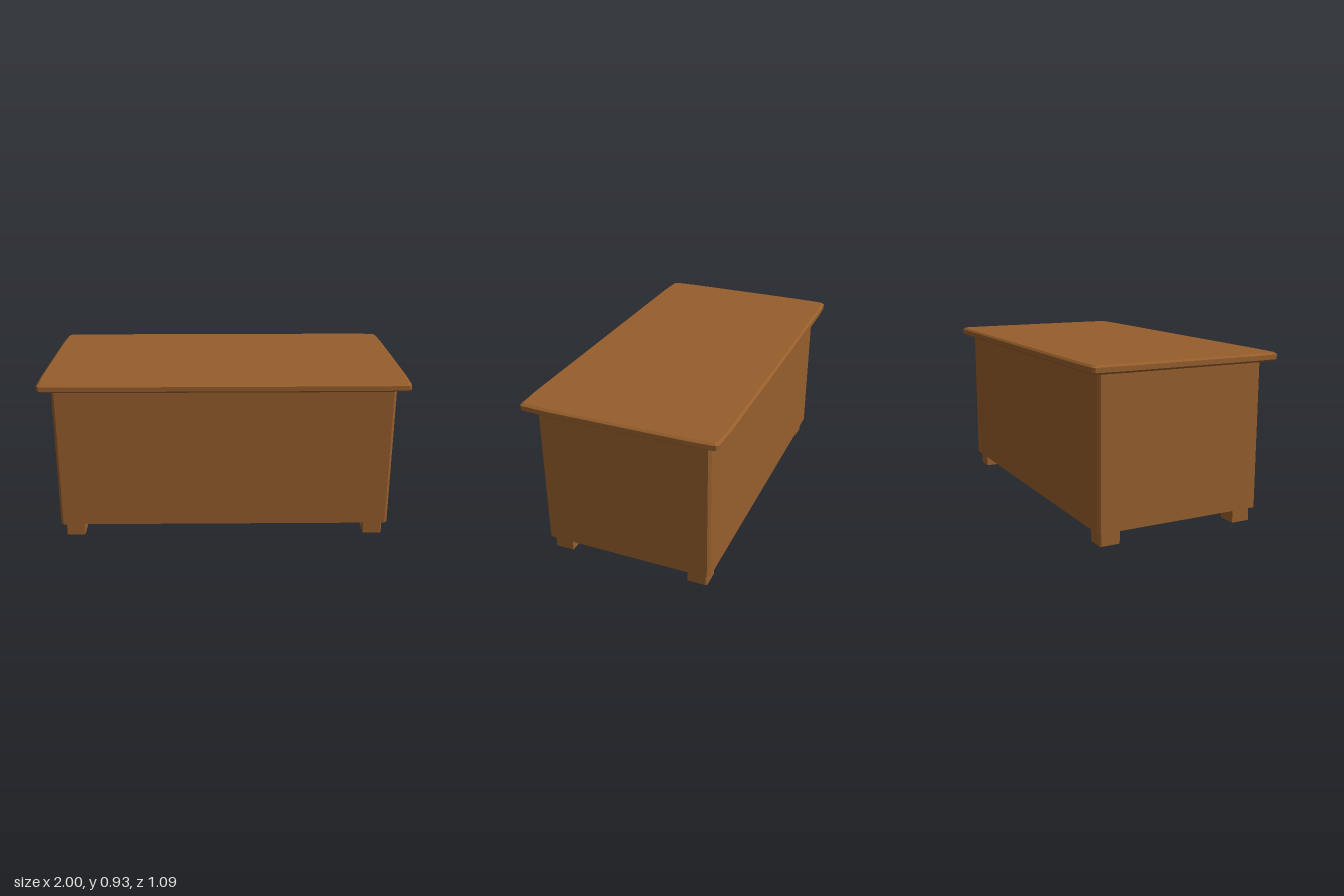
import * as THREE from 'three';

// Mirror [x, z] points into another quadrant, keeping the winding.
function mirror(points, sx, sz) {
  const out = points.map(([x, z]) => [x * sx, z * sz]);
  return sx * sz < 0 ? out.reverse() : out;
}

// Full outline from the points of the +x +z quadrant.
function fullOutline(quadrant) {
  return [[1, 1], [-1, 1], [-1, -1], [1, -1]].flatMap(([sx, sz]) => mirror(quadrant, sx, sz));
}

// Stack an outline through levels [y, inset]; optional caps close the ends.
function loft(outline, levels, capped = true) {
  const pos = [];
  const n = outline.length;
  const at = (level, i) => {
    const [y, inset] = level;
    const [x, z] = outline[i % n];
    return [x - Math.sign(x) * inset, y, z - Math.sign(z) * inset];
  };
  const tri = (a, b, c) => pos.push(...a, ...b, ...c);
  for (let l = 0; l < levels.length - 1; l++) {
    for (let i = 0; i < n; i++) {
      const a = at(levels[l], i), b = at(levels[l], i + 1);
      const c = at(levels[l + 1], i + 1), d = at(levels[l + 1], i);
      tri(a, d, c);
      tri(a, c, b);
    }
  }
  if (capped) {
    const low = levels[0], high = levels[levels.length - 1];
    for (let i = 0; i < n; i++) {
      tri([0, low[0], 0], at(low, i), at(low, i + 1));
      tri([0, high[0], 0], at(high, i + 1), at(high, i));
    }
  }
  const geometry = new THREE.BufferGeometry();
  geometry.setAttribute('position', new THREE.Float32BufferAttribute(pos, 3));
  geometry.computeVertexNormals();
  return geometry;
}

export function createModel() {
  const model = new THREE.Group();
  model.name = 'chest';

  const wood = new THREE.MeshStandardMaterial({ color: 0x965e2c, side: THREE.DoubleSide });
  wood.name = 'brown wood';

  const add = (name, geometry) => {
    const mesh = new THREE.Mesh(geometry, wood);
    mesh.name = name;
    model.add(mesh);
  };

  // Body: box with narrow chamfers on the upright edges
  const bodyCorner = [[0.93, 0.463], [0.915, 0.477]];
  add('body', loft(fullOutline(bodyCorner), [[0.077, 0], [0.884, 0]]));

  // Lid: overhanging slab, bevelled above and below, with slightly bowed sides
  const lidCorner = [[1, 0.36], [0.997, 0.45], [0.993, 0.525], [0.98, 0.537], [0.9, 0.541], [0.83, 0.544]];
  add('lid', loft(fullOutline(lidCorner), [[0.882, 0.012], [0.892, 0], [0.917, 0], [0.927, 0.012]]));

  // Feet: short hollow blocks, open below, chamfered on the outer corner
  const foot = [[0.8, 0.345], [0.905, 0.345], [0.905, 0.448], [0.898, 0.455], [0.8, 0.455]];
  for (const [sx, side] of [[1, 'Left'], [-1, 'Right']]) {
    for (const [sz, end] of [[1, 'front'], [-1, 'back']]) {
      add(`${end}${side}Foot`, loft(mirror(foot, sx, sz), [[0, 0], [0.077, 0]], false));
    }
  }
  return model;
}
